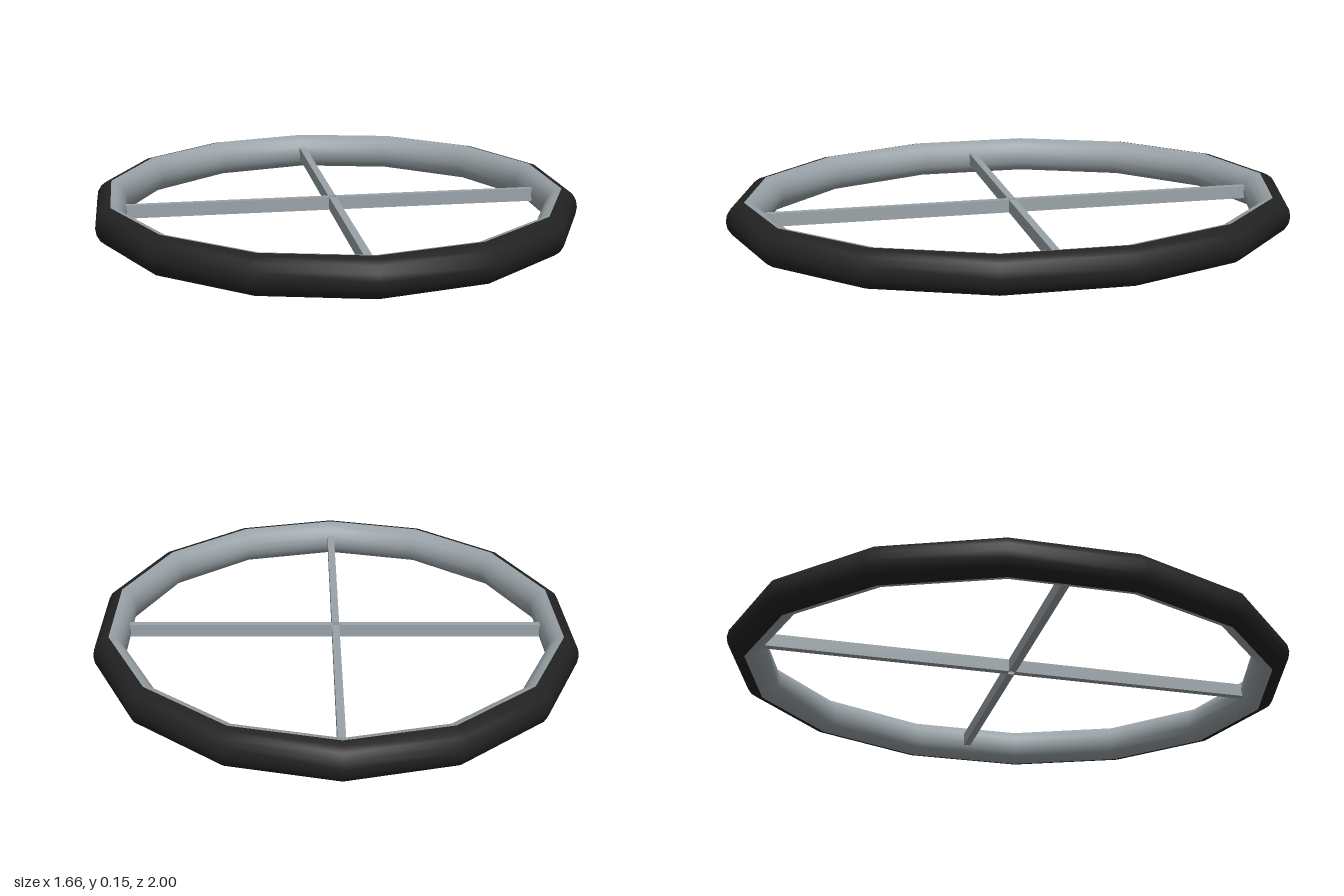
import * as THREE from 'three';

const SIDES = 14;          // low-poly ring
const RING = 0.936;        // radius to the middle of the tube
const TUBE = 0.064;        // tube radius
const SQUASH = 0.851;      // ring is narrower across x

// Half of a round tube swept around the ring, starting at the given angle
function halfTube(name, startAngle, material) {
  const profile = [];
  for (let i = 0; i <= 8; i++) {
    const a = startAngle + (i / 8) * Math.PI;
    profile.push(new THREE.Vector2(RING + TUBE * Math.cos(a), TUBE * 1.02 * Math.sin(a)));
  }
  const geometry = new THREE.LatheGeometry(profile, SIDES);
  geometry.scale(SQUASH, 1, 1);
  const mesh = new THREE.Mesh(geometry, material);
  mesh.name = name;
  return mesh;
}

export function createModel() {
  const wheel = new THREE.Group();
  wheel.name = 'wheel';
  const rubber = new THREE.MeshStandardMaterial({ color: 0x222222, side: THREE.DoubleSide });
  const metal = new THREE.MeshStandardMaterial({ color: 0x9aa3a8, side: THREE.DoubleSide });

  // Dark outer half and grey inner half of the tube
  wheel.add(halfTube('tyre', -Math.PI / 2, rubber));
  wheel.add(halfTube('rim', Math.PI / 2, metal));

  // Four flat spokes leaving a tiny square gap in the middle
  const gap = 0.012;
  for (let i = 0; i < 4; i++) {
    const end = i % 2 ? 0.88 : 0.735;
    const geometry = new THREE.BoxGeometry(end - gap, 0.046, 0.026);
    geometry.translate((end + gap) / 2, 0, 0);
    const spoke = new THREE.Mesh(geometry, metal);
    spoke.name = 'spoke' + (i + 1);
    spoke.rotation.y = (i * Math.PI) / 2;
    wheel.add(spoke);
  }

  // The wheel lies flat with a very slight lean
  wheel.rotation.z = 0.0105;
  wheel.position.y = 0.075;

  const model = new THREE.Group();
  model.name = 'spokedWheel';
  model.add(wheel);
  return model;
}
